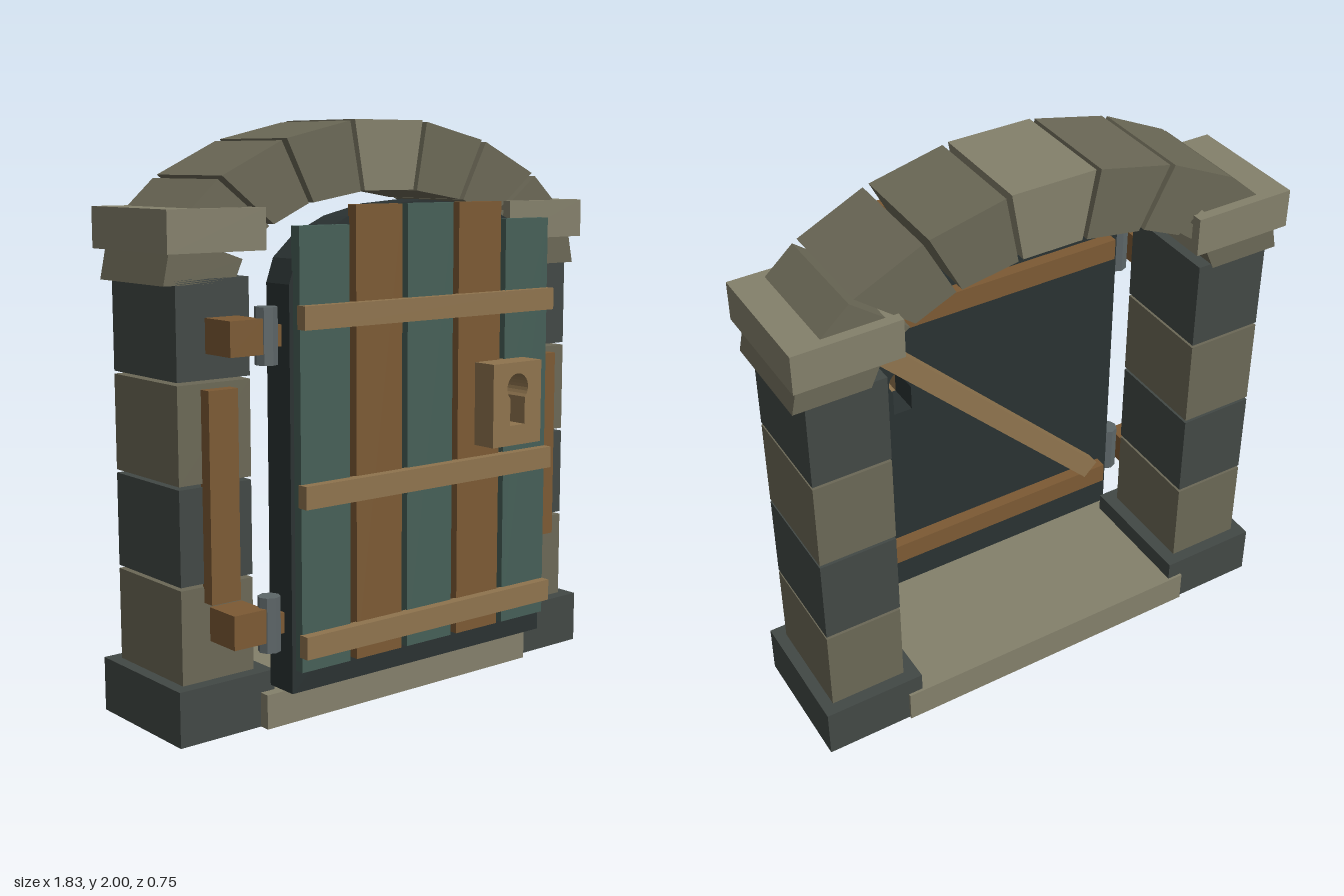
import * as THREE from 'three';

const mat = (color) => new THREE.MeshStandardMaterial({ color, flatShading: true });
const M = {
  stone: mat(0x6b6856), paleStone: mat(0x84806b), darkStone: mat(0x424845),
  panel: mat(0x2a3232), teal: mat(0x465f57), wood: mat(0x7c5a34),
  paleWood: mat(0x8f744e), iron: mat(0x5d6668),
};

export function createModel() {
  const model = new THREE.Group();
  model.name = 'archedDoorway';

  const add = (name, geometry, material) => {
    const mesh = new THREE.Mesh(geometry, material);
    mesh.name = name;
    model.add(mesh);
    return mesh;
  };
  // Box given by its extents on each axis
  const box = (name, material, x0, x1, y0, y1, z0, z1) => {
    const mesh = add(name, new THREE.BoxGeometry(Math.abs(x1 - x0), y1 - y0, z1 - z0), material);
    mesh.position.set((x0 + x1) / 2, (y0 + y1) / 2, (z0 + z1) / 2);
    return mesh;
  };
  const polygon = (points) => new THREE.Shape(points.map(([x, y]) => new THREE.Vector2(x, y)));
  const slab = (name, material, shape, z0, z1) => {
    const geometry = new THREE.ExtrudeGeometry(shape, { depth: z1 - z0, bevelEnabled: false, curveSegments: 10 });
    geometry.translate(0, 0, z0);
    return add(name, geometry, material);
  };
  const keyhole = () => {
    const hole = new THREE.Path();
    hole.moveTo(0.285, 0.955);
    hole.lineTo(0.355, 0.955);
    hole.lineTo(0.355, 1.05);
    hole.absarc(0.32, 1.086, 0.05, -Math.PI / 4, Math.PI * 1.25, false);
    hole.lineTo(0.285, 1.05);
    hole.closePath();
    return hole;
  };

  // Threshold and pillars
  box('threshold', M.paleStone, -0.595, 0.595, 0, 0.118, -0.375, 0.148);
  const courses = [[0.186, 0.503], [0.514, 0.832], [0.843, 1.166], [1.176, 1.497]];
  for (const s of [-1, 1]) {
    box('pillarBase', M.darkStone, s * 0.54, s * 0.91, 0, 0.187, -0.365, 0.11);
    courses.forEach(([y0, y1], i) =>
      box('pillarBlock', i % 2 ? M.darkStone : M.stone, s * 0.59, s * 0.868, y0, y1, -0.32, 0.063));
    // dark mortar core between the courses
    box('pillarCore', M.darkStone, s * 0.605, s * 0.853, 0.18, 1.49, -0.305, 0.048).visible = false;
    box('pillarCapital', M.paleStone, s * 0.543, s * 0.915, 1.58, 1.717, -0.358, 0.098);
    box('pillarBatten', M.wood, s * 0.668, s * 0.78, 0.45, 1.147, 0.055, 0.108);
  }

  // Arch stones: a keystone and mirrored wedges on each side
  slab('keystone', M.paleStone, polygon([[-0.15, 2], [-0.108, 1.763], [0.108, 1.763], [0.15, 2]]), -0.322, 0.063);
  const wedges = [
    [[0.17, 1.995], [0.125, 1.76], [0.325, 1.727], [0.432, 1.935]],
    [[0.453, 1.928], [0.345, 1.725], [0.487, 1.66], [0.686, 1.817]],
    [[0.702, 1.806], [0.506, 1.655], [0.6, 1.585], [0.865, 1.66]],
    [[0.875, 1.645], [0.612, 1.553], [0.645, 1.48], [0.91, 1.48]],
  ];
  for (const s of [-1, 1])
    for (const wedge of wedges)
      slab('archStone', M.stone, polygon(wedge.map(([x, y]) => [s * x, y])), -0.322, 0.063);

  // Door panel with a faceted arched top
  const outline = [[-0.565, 0.143], [0.565, 0.143]];
  for (let i = 0; i <= 10; i++) {
    const a = (i / 10) * Math.PI;
    outline.push([0.565 * Math.cos(a), 1.48 + 0.255 * Math.sin(a)]);
  }
  const panel = polygon(outline);
  panel.holes.push(keyhole());
  slab('doorPanel', M.panel, panel, 0.125, 0.247);

  // Front planks; the two beside the keyhole are notched behind the lock plate
  const planks = [[-0.55, -0.35], [-0.323, -0.128], [-0.104, 0.098], [0.124, 0.32], [0.344, 0.55]];
  planks.forEach(([x0, x1], i) => {
    const top = i === 0 || i === 4 ? 1.663 : 1.725;
    const points = [[x0, 0.22], [x1, 0.22]];
    if (i === 3) points.push([x1, 0.93], [0.255, 0.93], [0.255, 1.15], [x1, 1.15]);
    points.push([x1, top], [x0, top]);
    if (i === 4) points.push([x0, 1.15], [0.385, 1.15], [0.385, 0.93], [x0, 0.93]);
    slab('doorPlank', i % 2 ? M.wood : M.teal, polygon(points), 0.24, 0.282);
  });

  // Front straps and lock plate
  for (const y of [0.31, 0.805, 1.378])
    box('doorStrap', M.paleWood, -0.555, 0.55, y - 0.038, y + 0.038, 0.275, 0.316);
  const plate = polygon([[0.204, 0.885], [0.434, 0.885], [0.434, 1.175], [0.204, 1.175]]);
  plate.holes.push(keyhole());
  slab('lockPlate', M.paleWood, plate, 0.246, 0.375);

  // Back rails and diagonal brace
  for (const y of [0.335, 1.375])
    box('backRail', M.wood, -0.528, 0.525, y - 0.04, y + 0.04, 0.08, 0.127);
  const from = new THREE.Vector2(-0.46, 0.385), to = new THREE.Vector2(0.46, 1.315);
  const run = to.clone().sub(from);
  const brace = add('backBrace', new THREE.BoxGeometry(run.length(), 0.075, 0.055), M.paleWood);
  brace.position.set((from.x + to.x) / 2, (from.y + to.y) / 2, 0.1);
  brace.rotation.z = run.angle();

  // Hinges: wooden mount, iron barrel and leaf
  for (const y of [0.375, 1.317]) {
    box('hingeMount', M.wood, -0.76, -0.635, y - 0.057, y + 0.057, 0.06, 0.203);
    box('hingeLeaf', M.wood, -0.62, -0.55, y - 0.035, y + 0.035, 0.15, 0.205);
    const barrel = add('hingeBarrel', new THREE.CylinderGeometry(0.038, 0.038, 0.185, 8), M.iron);
    barrel.position.set(-0.606, y, 0.178);
  }
  return model;
}
